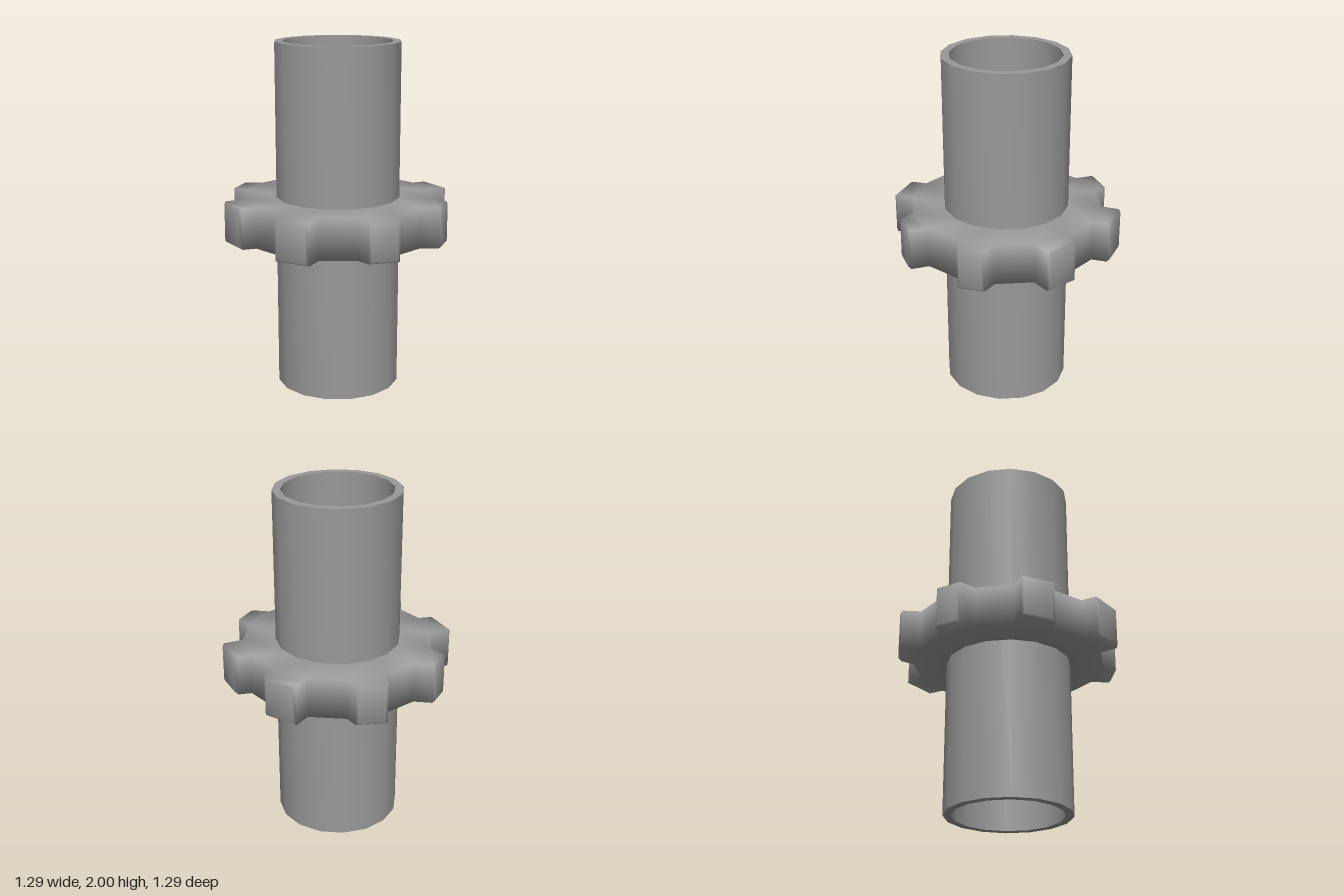
import * as THREE from 'three';
import { toCreasedNormals } from 'three/addons/utils/BufferGeometryUtils.js';

const SIDES = 16;
const STEP = (Math.PI * 2) / SIDES;
const OUTER = 0.357, INNER = 0.311;   // pipe radii
const ROOT = 0.545;                   // radius of the ring between teeth
const LOW = 0.885, HIGH = 1.12;       // ring height range
const BEVEL = 0.012;

// Four slightly uneven teeth, repeated on the opposite half. Each lists its
// shoulder and tip sections as [trailing offset, distance, leading offset, distance].
const TEETH = [
  [[-0.079, 0.628, 0.070, 0.633], [-0.067, 0.638, 0.057, 0.645]],
  [[-0.091, 0.637, 0.079, 0.611], [-0.074, 0.648, 0.067, 0.628]],
  [[-0.100, 0.640, 0.104, 0.624], [-0.084, 0.652, 0.091, 0.638]],
  [[-0.101, 0.610, 0.091, 0.648], [-0.084, 0.630, 0.076, 0.658]],
];

// Hollow pipe with flat rims
function pipeGeometry() {
  const profile = [[OUTER, 0], [OUTER, 2], [INNER, 2], [INNER, 0], [OUTER, 0]]
    .map(([r, y]) => new THREE.Vector2(r, y));
  return toCreasedNormals(new THREE.LatheGeometry(profile, SIDES), Math.PI / 4);
}

// Sixteen-sided ring; every second side is pushed out into a bevelled tooth.
// Every face counts equally in the vertex normals, so the bevels shade softly.
function gearGeometry() {
  const points = [], normals = [], index = [];
  const add = (x, y, z) => {
    normals.push(new THREE.Vector3());
    return points.push(new THREE.Vector3(x, y, z)) - 1;
  };
  const quad = (a, b, c, d) => {
    index.push(a, b, c, a, c, d);
    const across = points[c].clone().sub(points[a]);
    const normal = across.cross(points[d].clone().sub(points[b])).normalize();
    for (const v of [a, b, c, d]) normals[v].add(normal);
  };
  const ringOf = (r, y) => Array.from({ length: SIDES }, (_, j) =>
    add(r * Math.sin(j * STEP), y, -r * Math.cos(j * STEP)));

  const inTop = ringOf(OUTER, HIGH), inLow = ringOf(OUTER, LOW);
  const outTop = ringOf(ROOT, HIGH), outLow = ringOf(ROOT, LOW);

  for (let j = 0; j < SIDES; j++) {
    const k = (j + 1) % SIDES;
    quad(inTop[j], inTop[k], outTop[k], outTop[j]);
    quad(inLow[k], inLow[j], outLow[j], outLow[k]);

    let ring = [outLow[k], outLow[j], outTop[j], outTop[k]];
    if (j % 2 === 1) {
      const mid = (j + 0.5) * STEP, s = Math.sin(mid), c = Math.cos(mid);
      const corner = (t, d, y) => add(d * s + t * c, y, -d * c + t * s);
      // Tooth order starts at the side facing +x
      const tooth = TEETH[((j - 3) / 2 + 4) % 4];
      tooth.forEach(([t0, d0, t1, d1], level) => {
        const low = LOW + level * BEVEL, high = HIGH - level * BEVEL;
        const next = [corner(t1, d1, low), corner(t0, d0, low),
          corner(t0, d0, high), corner(t1, d1, high)];
        for (let e = 0; e < 4; e++) {
          const f = (e + 1) % 4;
          quad(ring[e], ring[f], next[f], next[e]);
        }
        ring = next;
      });
    }
    quad(...ring);
  }

  const flatten = (list) => new THREE.Float32BufferAttribute(list.flatMap((v) => v.toArray()), 3);
  const geometry = new THREE.BufferGeometry();
  geometry.setAttribute('position', flatten(points));
  geometry.setAttribute('normal', flatten(normals.map((n) => n.normalize())));
  geometry.setIndex(index);
  return geometry;
}

export function createModel() {
  const group = new THREE.Group();
  const material = new THREE.MeshStandardMaterial({ color: 0x999999 });
  const addPart = (name, geometry) => {
    const mesh = new THREE.Mesh(geometry, material);
    mesh.name = name;
    group.add(mesh);
  };
  addPart('pipe', pipeGeometry());
  addPart('toothedRing', gearGeometry());
  return group;
}
